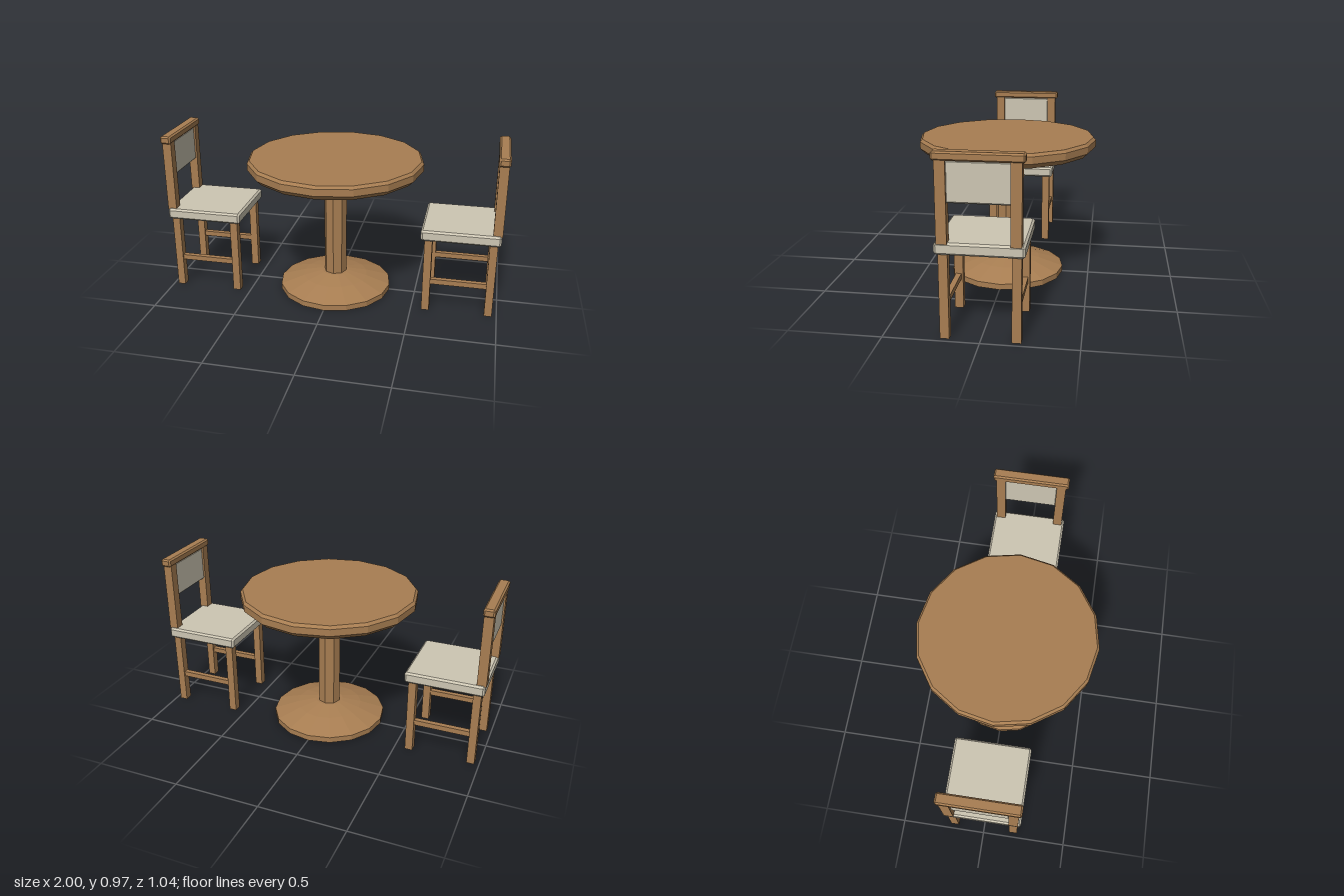
import * as THREE from 'three';
import { ConvexGeometry } from 'three/addons/geometries/ConvexGeometry.js';

const wood = new THREE.MeshStandardMaterial({ name: 'wood', color: 0xa87e52, flatShading: true });
const cream = new THREE.MeshStandardMaterial({ name: 'cream cushion', color: 0xcdc6b3, flatShading: true });

// Box between two corners, with every edge chamfered by c when c > 0
function block(name, material, [x0, y0, z0], [x1, y1, z1], c = 0) {
  const w = x1 - x0, h = y1 - y0, d = z1 - z0;
  let geometry = new THREE.BoxGeometry(w, h, d);
  if (c > 0) {
    const points = [];
    for (const x of [-1, 1]) for (const y of [-1, 1]) for (const z of [-1, 1]) {
      const half = [w / 2, h / 2, d / 2];
      for (let axis = 0; axis < 3; axis++) {
        const inset = half.map((v, i) => (i === axis ? v : v - c));
        points.push(new THREE.Vector3(x * inset[0], y * inset[1], z * inset[2]));
      }
    }
    geometry = new ConvexGeometry(points);
  }
  const mesh = new THREE.Mesh(geometry, material);
  mesh.name = name;
  mesh.position.set((x0 + x1) / 2, (y0 + y1) / 2, (z0 + z1) / 2);
  return mesh;
}

// Faceted turned part from [radius, height] pairs, bottom to top
function turned(name, sides, profile) {
  const points = profile.map(([r, y]) => new THREE.Vector2(r, y));
  const mesh = new THREE.Mesh(new THREE.LatheGeometry(points, sides), wood);
  mesh.name = name;
  return mesh;
}

function createTable() {
  const table = new THREE.Group();
  table.name = 'table';
  table.add(
    turned('tableTop', 16, [[0, 0.763], [0.49, 0.763], [0.522, 0.793], [0.522, 0.833], [0.508, 0.849], [0, 0.849]]),
    turned('pedestal', 8, [[0.069, 0.09], [0.069, 0.77]]),
    turned('pedestalBase', 16, [[0, 0], [0.342, 0], [0.342, 0.034], [0.198, 0.081], [0.084, 0.106], [0, 0.106]]),
  );
  return table;
}

// Chair on the +x side, facing the table
function createChair(name) {
  const chair = new THREE.Group();
  chair.name = name;
  chair.add(
    block('seat', cream, [0.54, 0.452, -0.225], [0.99, 0.516, 0.225], 0.011),
    block('topRail', wood, [0.937, 0.923, -0.225], [1, 0.969, 0.225], 0.009),
    block('backPanel', cream, [0.95, 0.715, -0.16], [0.985, 0.925, 0.16], 0.008),
  );
  for (const side of [-1, 1]) {
    const z = side * 0.182;
    chair.add(
      block('frontLeg', wood, [0.562, 0, z - 0.024], [0.607, 0.46, z + 0.024]),
      block('backLeg', wood, [0.928, 0, z - 0.024], [0.973, 0.46, z + 0.024]),
      block('sideStretcher', wood, [0.6, 0.171, z - 0.015], [0.935, 0.202, z + 0.015]),
      block('backPost', wood, [0.941, 0.51, z - 0.027], [0.994, 0.93, z + 0.027]),
    );
  }
  return chair;
}

export function createModel() {
  const model = new THREE.Group();
  model.name = 'diningSet';
  const leftChair = createChair('leftChair');
  const rightChair = createChair('rightChair');
  rightChair.rotation.y = Math.PI;
  model.add(createTable(), leftChair, rightChair);
  return model;
}
